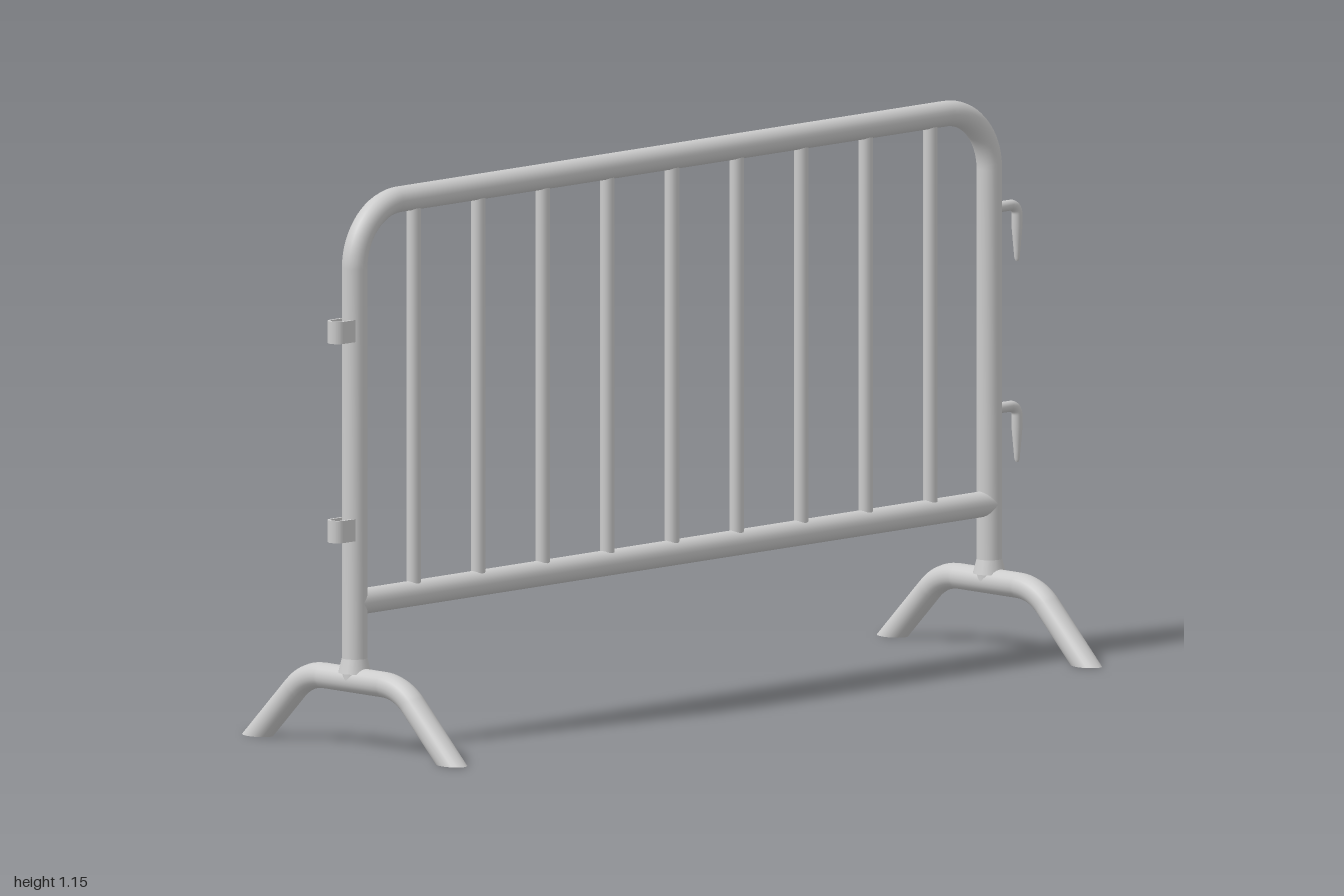
import * as THREE from 'three';

const V = (x, y, z = 0) => new THREE.Vector3(x, y, z);
const steel = new THREE.MeshStandardMaterial({ color: 0xcccccc });

const CENTRE = -0.0115, HALF = 0.9185, PIPE = 0.0265, SIDES = 20;

function add(group, name, geometry, x = 0, y = 0, z = 0) {
  const mesh = new THREE.Mesh(geometry, steel);
  mesh.name = name;
  mesh.position.set(x, y, z);
  group.add(mesh);
  return mesh;
}

// Replace each inner corner of a polyline by an arc
function roundCorners(corners, radius, steps = 12) {
  const out = [corners[0]];
  for (let i = 1; i < corners.length - 1; i++) {
    const p = corners[i];
    const u = corners[i - 1].clone().sub(p).normalize();
    const v = corners[i + 1].clone().sub(p).normalize();
    const theta = u.angleTo(v);
    const centre = u.clone().add(v).normalize().multiplyScalar(radius / Math.sin(theta / 2)).add(p);
    const arm = u.clone().multiplyScalar(radius / Math.tan(theta / 2)).add(p).sub(centre);
    const axis = u.clone().negate().cross(v).normalize();
    for (let k = 0; k <= steps; k++)
      out.push(arm.clone().applyAxisAngle(axis, (Math.PI - theta) * k / steps).add(centre));
  }
  out.push(corners[corners.length - 1]);
  return out;
}

// Capped round pipe along a path in the plane with the given normal
function pipe(path, normal, radiusAt, cutAtGround = false, sides = SIDES) {
  const pos = [], idx = [], last = path.length - 1;
  path.forEach((p, i) => {
    const t = V(0, 0);
    if (i > 0) t.add(p.clone().sub(path[i - 1]).normalize());
    if (i < last) t.add(path[i + 1].clone().sub(p).normalize());
    t.normalize();
    const side = normal.clone().cross(t), r = radiusAt(p);
    for (let j = 0; j < sides; j++) {
      const a = j / sides * Math.PI * 2;
      const q = p.clone().addScaledVector(side, r * Math.cos(a)).addScaledVector(normal, r * Math.sin(a));
      if (cutAtGround && (i === 0 || i === last)) q.addScaledVector(t, -q.y / t.y);
      pos.push(q.x, q.y, q.z);
      if (i < last) {
        const n = i * sides + (j + 1) % sides, c = i * sides + j;
        idx.push(c, n, c + sides, n, n + sides, c + sides);
      }
    }
  });
  for (const end of [0, last]) {
    const base = pos.length / 3;
    pos.push(...pos.slice(end * sides * 3, (end + 1) * sides * 3), ...path[end].toArray());
    for (let j = 0; j < sides; j++) {
      const a = base + j, b = base + (j + 1) % sides;
      idx.push(base + sides, ...(end ? [a, b] : [b, a]));
    }
  }
  const g = new THREE.BufferGeometry();
  g.setAttribute('position', new THREE.Float32BufferAttribute(pos, 3));
  g.setIndex(idx);
  g.computeVertexNormals();
  return g;
}

// Flat strap bent to a U, seen from above
function strapGeometry() {
  const s = new THREE.Shape();
  const rOut = 0.02, rIn = 0.014, reach = 0.05;
  s.moveTo(reach, rOut);
  s.lineTo(0, rOut);
  s.absarc(0, 0, rOut, Math.PI / 2, Math.PI * 1.5, false);
  s.lineTo(reach, -rOut);
  s.lineTo(reach, -rIn);
  s.lineTo(0, -rIn);
  s.absarc(0, 0, rIn, Math.PI * 1.5, Math.PI / 2, true);
  s.lineTo(reach, rIn);
  s.closePath();
  const g = new THREE.ExtrudeGeometry(s, { depth: 0.046, bevelEnabled: false, curveSegments: 12 });
  return g.rotateX(-Math.PI / 2);
}

export function createModel() {
  const barrier = new THREE.Group();
  barrier.name = 'crowdBarrier';
  const left = CENTRE - HALF, right = CENTRE + HALF;

  // Bent hoop: both posts and the top rail
  const hoop = roundCorners([V(left, 0.145), V(left, 1.128), V(right, 1.128), V(right, 0.145)], 0.128, 16);
  add(barrier, 'frameHoop', pipe(hoop, V(0, 0, 1), () => PIPE));

  // Bottom rail
  const rail = new THREE.CylinderGeometry(PIPE, PIPE, HALF * 2, SIDES, 1, true).rotateZ(Math.PI / 2);
  add(barrier, 'bottomRail', rail, CENTRE, 0.306);

  // Upright infill bars
  const bars = new THREE.Group();
  bars.name = 'infillBars';
  barrier.add(bars);
  const bar = new THREE.CylinderGeometry(0.015, 0.015, 0.822, 16, 1, true);
  for (let i = -4; i <= 4; i++) add(bars, 'infillBar', bar, CENTRE + i * 0.187, 0.717);

  // Arched feet, cut flat at the ground, with a weld collar under each post
  const arch = roundCorners([V(0, 0, 0.281), V(0, 0.145, 0.136), V(0, 0.145, -0.136), V(0, 0, -0.281)], 0.12);
  const foot = pipe(arch, V(1, 0, 0), () => PIPE, true);
  const weld = new THREE.CylinderGeometry(PIPE, 0.034, 0.03, SIDES, 1, true);
  for (const x of [left, right]) {
    add(barrier, 'foot', foot, x);
    add(barrier, 'footWeld', weld, x, 0.176);
  }

  // Tapered coupling hooks on one post, strap loops on the other
  const hookPath = roundCorners([V(0, 0), V(0.08, 0), V(0.08, -0.04), V(0.08, -0.085), V(0.08, -0.118)]
    .filter((p, i) => i < 2 || i === 4), 0.02, 8);
  const end = hookPath.pop();
  for (const y of [-0.045, -0.07, -0.095, -0.112]) hookPath.push(V(0.08, y));
  hookPath.push(end);
  const hookRadius = p => p.y > -0.045 ? 0.0115
    : p.y < -0.115 ? 0.0025 : THREE.MathUtils.mapLinear(p.y, -0.045, -0.112, 0.0115, 0.0055);
  const hook = pipe(hookPath, V(0, 0, 1), hookRadius, false, 14);
  const strap = strapGeometry();
  for (const y of [0.917, 0.5]) add(barrier, 'couplingHook', hook, right, y);
  for (const y of [0.85, 0.437]) add(barrier, 'couplingLoop', strap, -0.98, y);

  return barrier;
}
